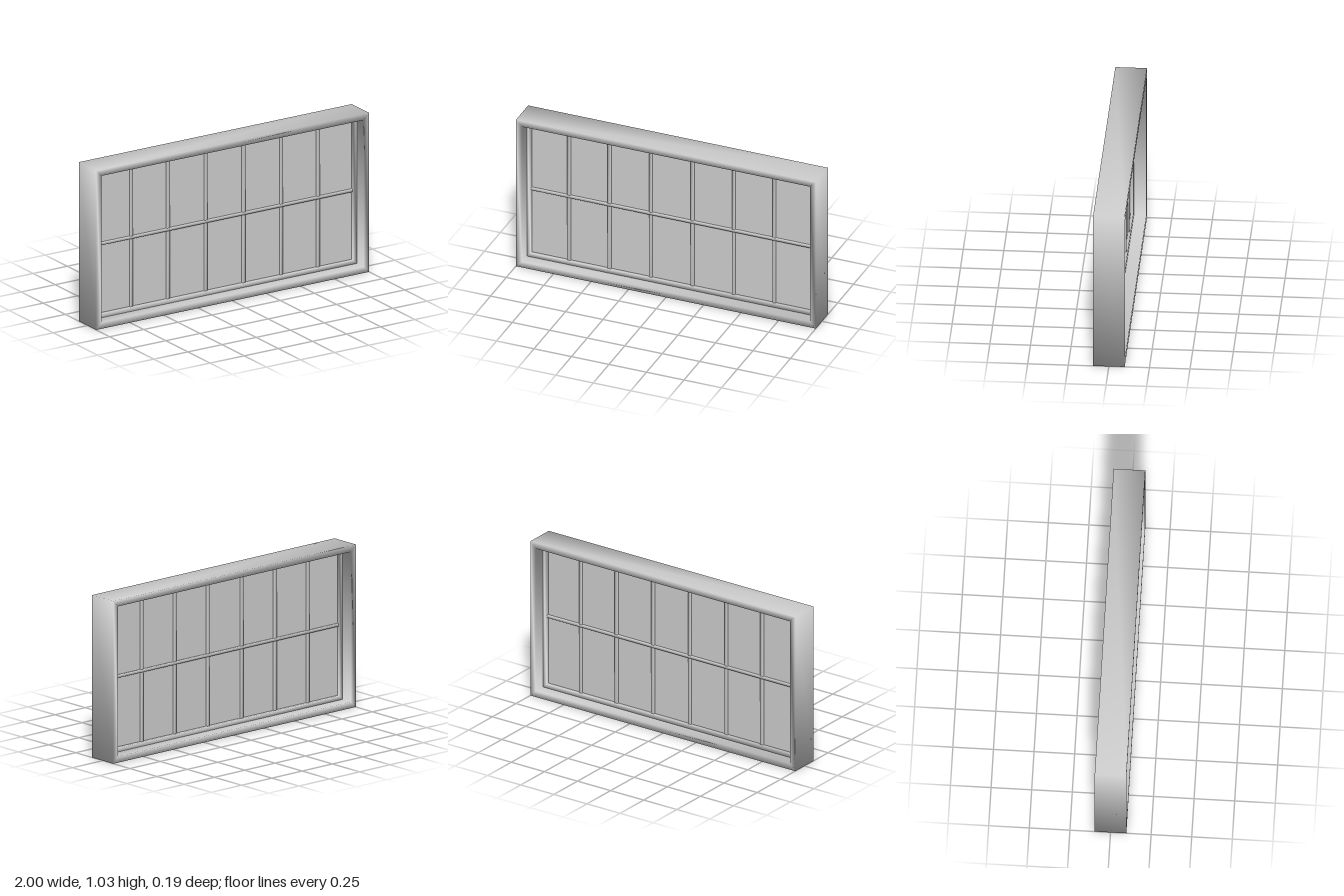
import * as THREE from 'three';
import { mergeVertices } from 'three/addons/utils/BufferGeometryUtils.js';

const WIDTH = 2, HEIGHT = 1.035, DEPTH = 0.195;
const FRAME = 0.04;   // width of the outer frame
const BEAD = 0.067;   // distance from the outside to the glazing opening
const MID = HEIGHT / 2;

const grey = new THREE.MeshStandardMaterial({ color: 0xcccccc });

function addMesh(parent, name, geometry, x = 0, y = 0, z = 0) {
  const mesh = new THREE.Mesh(geometry, grey);
  mesh.name = name;
  mesh.position.set(x, y, z);
  parent.add(mesh);
  return mesh;
}

// Mitred rectangular ring with shared corners, so its shading is smooth
function ringGeometry(outerInset, innerInset, depth) {
  const profile = [
    [outerInset, depth / 2], [innerInset, depth / 2],
    [innerInset, -depth / 2], [outerInset, -depth / 2],
  ];
  const corners = [[-1, -1], [1, -1], [1, 1], [-1, 1]];
  const positions = [], index = [];
  corners.forEach(([sx, sy], i) => {
    const next = (i + 1) % 4;
    profile.forEach(([inset, z], j) => {
      positions.push(sx * (WIDTH / 2 - inset), sy * (HEIGHT / 2 - inset), z);
      const k = (j + 1) % 4;
      const a = i * 4 + j, b = next * 4 + j, c = next * 4 + k, d = i * 4 + k;
      index.push(a, b, c, a, c, d);
    });
  });
  const geometry = new THREE.BufferGeometry();
  geometry.setAttribute('position', new THREE.Float32BufferAttribute(positions, 3));
  geometry.setIndex(index);
  geometry.computeVertexNormals();
  return geometry;
}

// Box with welded corners and smooth normals
function softBox(w, h, d) {
  const box = new THREE.BoxGeometry(w, h, d);
  box.deleteAttribute('normal');
  box.deleteAttribute('uv');
  const geometry = mergeVertices(box);
  geometry.computeVertexNormals();
  return geometry;
}

export function createModel() {
  const model = new THREE.Group();
  model.name = 'window';

  // Deep outer frame and the slim glazing bead inside it
  addMesh(model, 'outerFrame', ringGeometry(0, FRAME, DEPTH), 0, MID);
  addMesh(model, 'glazingBead', ringGeometry(FRAME, BEAD, 0.04), 0, MID);

  // Glass pane
  const openW = WIDTH - 2 * BEAD, openH = HEIGHT - 2 * BEAD;
  addMesh(model, 'glassPane', new THREE.BoxGeometry(openW, openH, 0.004), 0, MID);

  // Glazing bars: one across, six upright
  const bars = new THREE.Group();
  bars.name = 'glazingBars';
  model.add(bars);
  addMesh(bars, 'horizontalBar', softBox(openW, 0.018, 0.026), 0, MID);
  for (const x of [0.139, 0.414, 0.684]) {
    for (const side of [-1, 1]) {
      addMesh(bars, 'verticalBar', softBox(0.021, openH, 0.024), side * x, MID);
    }
  }

  return model;
}
